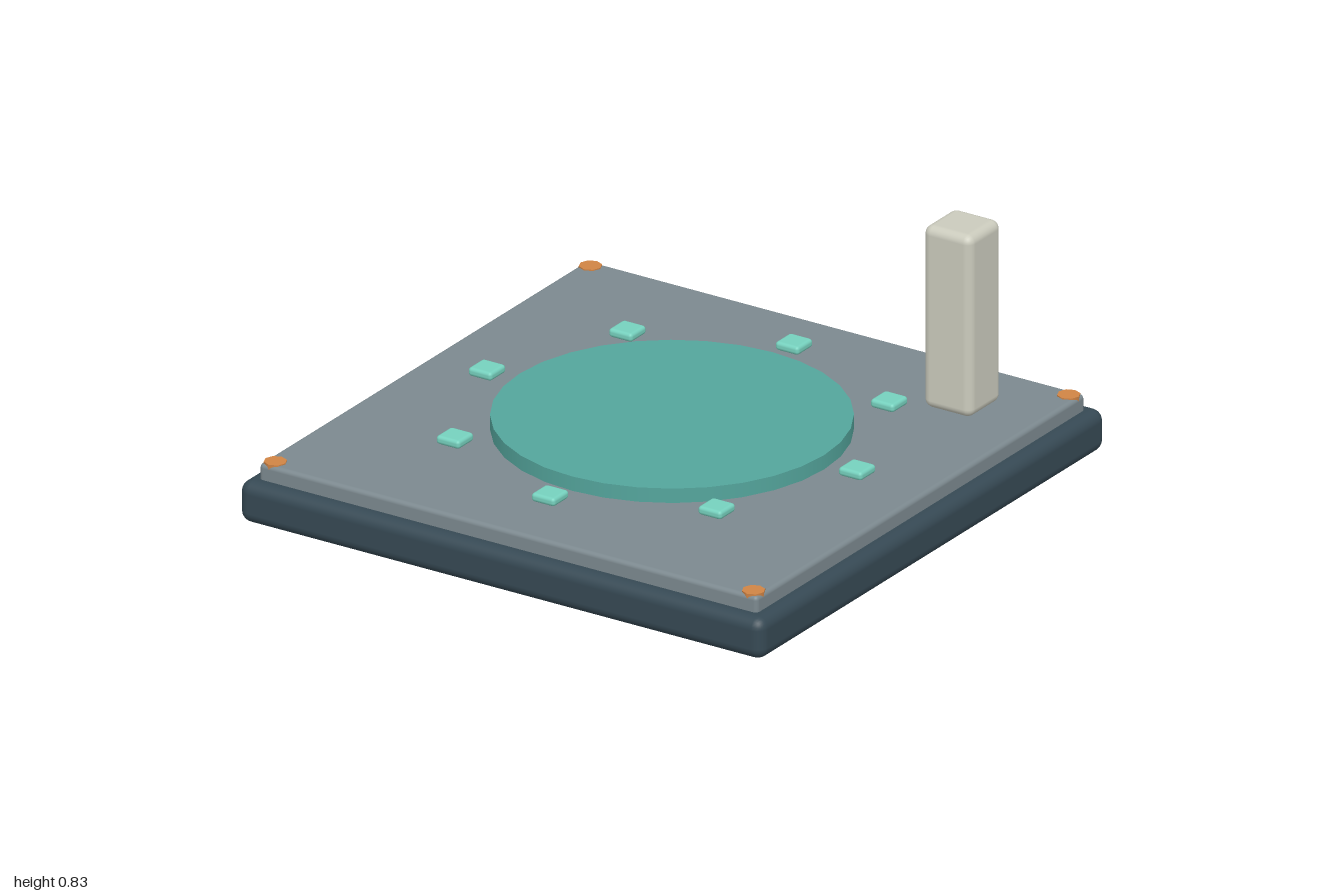
import * as THREE from 'three';
import { RoundedBoxGeometry } from 'three/addons/geometries/RoundedBoxGeometry.js';

const mat = (name, color) => new THREE.MeshStandardMaterial({ name, color });

export function createModel() {
  const model = new THREE.Group();
  model.name = 'platform';

  const slate = mat('dark slate', 0x364954);
  const grey = mat('plate grey', 0x7c898f);
  const teal = mat('disc teal', 0x54a59c);
  const mint = mat('marker mint', 0x76d1be);
  const copper = mat('bolt copper', 0xd08445);
  const stone = mat('pillar stone', 0xcbcbbd);

  const add = (name, geometry, material, x, y, z) => {
    const mesh = new THREE.Mesh(geometry, material);
    mesh.name = name;
    mesh.position.set(x, y, z);
    model.add(mesh);
    return mesh;
  };

  // Stacked slabs: heavy rounded base and thinner deck plate
  add('base', new RoundedBoxGeometry(2, 0.145, 2, 3, 0.04), slate, 0, 0.0725, 0);
  add('deckPlate', new RoundedBoxGeometry(1.9, 0.09, 1.9, 3, 0.015), grey, 0, 0.155, 0);

  // Raised central disc
  add('disc', new THREE.CylinderGeometry(0.58, 0.58, 0.055, 32), teal, 0, 0.2225, 0);

  // Ring of eight markers, all square to the deck
  const markerGeometry = new RoundedBoxGeometry(0.09, 0.03, 0.09, 2, 0.012);
  for (let i = 0; i < 8; i++) {
    const a = (i / 8) * Math.PI * 2;
    add('marker' + (i + 1), markerGeometry, mint, Math.sin(a) * 0.706, 0.23, Math.cos(a) * 0.706);
  }

  // Corner bolts
  const boltGeometry = new THREE.CylinderGeometry(0.038, 0.038, 0.02, 8);
  for (const x of [-1, 1]) {
    for (const z of [-1, 1]) {
      add('cornerBolt', boltGeometry, copper, x * 0.912, 0.194, z * 0.912);
    }
  }

  // Rear corner pillar
  add('pillar', new RoundedBoxGeometry(0.185, 0.635, 0.185, 3, 0.03), stone, 0.667, 0.5175, -0.667);

  return model;
}
